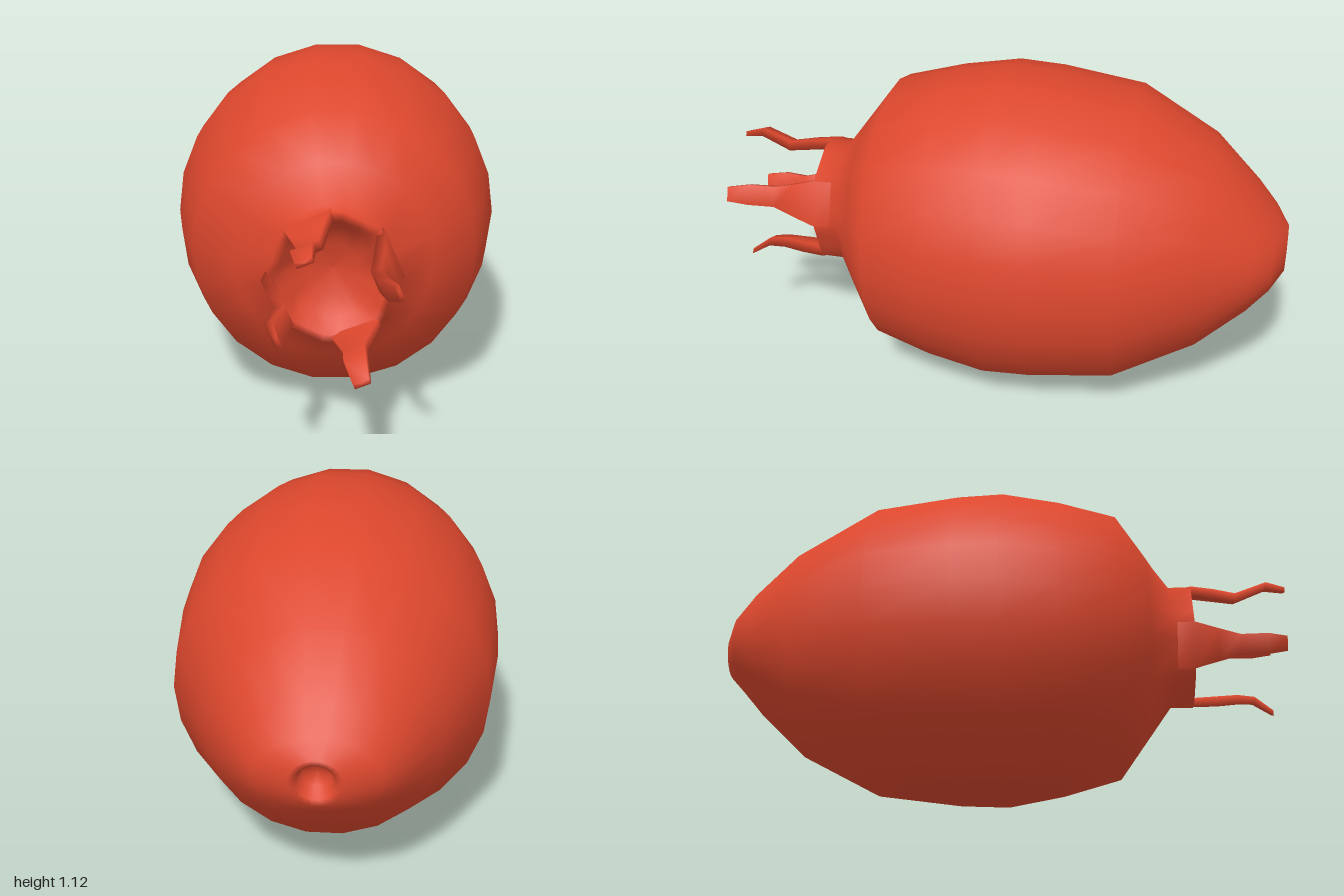
import * as THREE from 'three';

const CENTER_Y = 0.567;
const material = new THREE.MeshStandardMaterial({ color: 0xdc472d });

// Skins a list of closed rings (counter-clockwise seen from +z, going forward)
function loft(rings) {
  const n = rings[0].length, index = [];
  for (let i = 0; i < rings.length - 1; i++) {
    for (let j = 0; j < n; j++) {
      const a = i * n + j, b = i * n + (j + 1) % n;
      index.push(a, b, a + n, b, b + n, a + n);
    }
  }
  const g = new THREE.BufferGeometry();
  g.setAttribute('position', new THREE.Float32BufferAttribute(rings.flat(2), 3));
  g.setIndex(index);
  g.computeVertexNormals();
  return g;
}

function part(name, geometry) {
  const m = new THREE.Mesh(geometry, material);
  m.name = name;
  return m;
}

// Fruit body: rings of [z, x radius, y radius, octagonal?]
function bodyGeometry() {
  const quarter = [0, 14.5, 29, 45, 63, 81];
  const half = [...quarter, ...quarter.slice(1).reverse().map(a => 180 - a)];
  const angles = [...half, ...half.map(a => a + 180)];
  const profile = [
    [-0.93, 0.001, 0.001], [-0.935, 0.045, 0.045], [-0.99, 0.06, 0.06],
    [-0.995, 0.085, 0.08], [-0.95, 0.2, 0.13], [-0.88, 0.27, 0.215],
    [-0.72, 0.38, 0.375], [-0.45, 0.525, 0.52], [-0.16, 0.557, 0.56],
    [0, 0.563, 0.567], [0.2, 0.53, 0.53], [0.4, 0.47, 0.475], [0.5, 0.325, 0.335],
    // collar and its hollow
    [0.58, 0.21, 0.235, 1], [0.66, 0.21, 0.235, 1], [0.66, 0.185, 0.205, 1],
    [0.6, 0.15, 0.165, 1], [0.57, 0.08, 0.09], [0.56, 0.001, 0.001],
  ];
  return loft(profile.map(([z, rx, ry, oct]) => angles.map(deg => {
    const a = THREE.MathUtils.degToRad(deg), e = Math.PI / 8;
    const k = oct ? Math.cos(e) / Math.cos(a % (2 * e) - e) : 1;
    return [rx * k * Math.cos(a), CENTER_Y + ry * k * Math.sin(a), z];
  })));
}

// Crown tooth: flat strip following distances from the axis, narrowing forward
function toothGeometry(deg, rows) {
  const a = THREE.MathUtils.degToRad(deg), c = Math.cos(a), s = Math.sin(a);
  return loft(rows.map(([z, r, w, t]) =>
    [[t, -w], [t, w], [-t, w], [-t, -w]].map(([dr, d]) =>
      [(r + dr) * c - d * s, CENTER_Y + (r + dr) * s + d * c, z])));
}

export function createModel() {
  const group = new THREE.Group();
  group.name = 'fruit';
  group.add(part('body', bodyGeometry()));

  // Each tooth: angle, then distance from the axis at waist, bend and tip, and tip z
  const teeth = [
    ['topTooth', 112.5, 0.172, 0.212, 0.198, 1.0],
    ['leftTooth', 22.5, 0.158, 0.18, 0.215, 0.98],
    ['bottomTooth', -67.5, 0.19, 0.195, 0.24, 0.95],
    ['rightTooth', 202.5, 0.157, 0.19, 0.174, 0.98],
  ];
  for (const [name, deg, waist, bend, tip, end] of teeth) {
    group.add(part(name, toothGeometry(deg, [
      [0.6, 0.19, 0.08, 0.012],
      [0.66, 0.197, 0.08, 0.016],
      [0.74, (0.2 + waist) / 2, 0.057, 0.018],
      [0.82, waist, 0.036, 0.017],
      [end - 0.07, bend, 0.036, 0.014],
      [end - 0.003, tip, 0.026, 0.009],
      [end, tip, 0.001, 0.001],
    ])));
  }
  return group;
}
